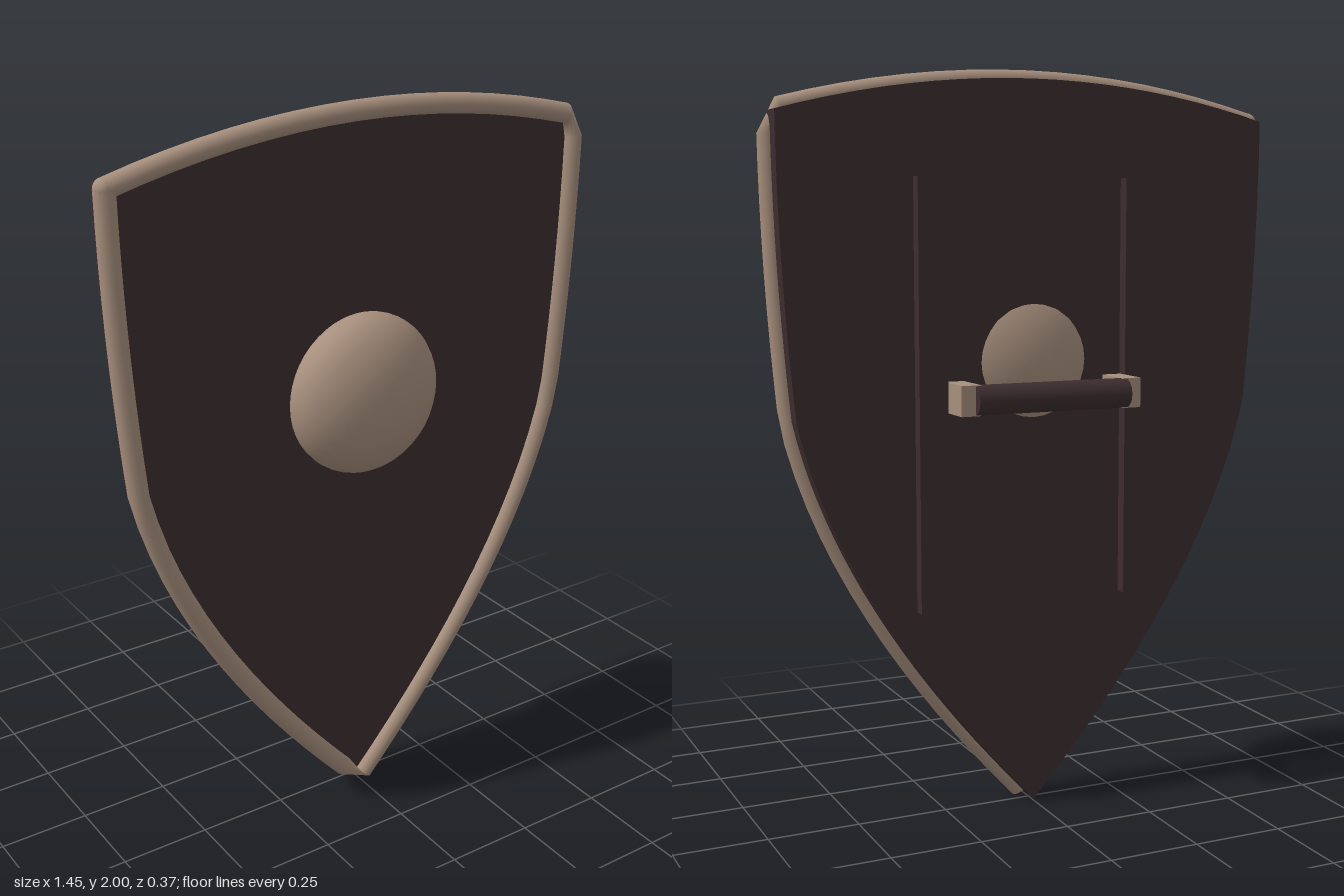
import * as THREE from 'three';

export function createModel() {
  const shield = new THREE.Group();
  shield.name = 'shield';
  const wood = new THREE.MeshStandardMaterial({ name: 'dark wood', color: 0x3d2d2f });
  const metal = new THREE.MeshStandardMaterial({ name: 'tan metal', color: 0xa78f7d });

  const add = (name, geometry, material, x = 0, y = 0, z = 0) => {
    const mesh = new THREE.Mesh(geometry, material);
    mesh.name = name;
    mesh.position.set(x, y, z);
    shield.add(mesh);
    return mesh;
  };

  // Heater outline, clockwise from the upper corner at -x
  const outline = new THREE.Shape();
  outline.moveTo(-0.7, 1.88);
  outline.quadraticCurveTo(0, 2.07, 0.7, 1.88);
  outline.quadraticCurveTo(0.7, 1.5, 0.66, 1.1);
  outline.quadraticCurveTo(0.55, 0.6, 0, 0.01);
  outline.quadraticCurveTo(-0.55, 0.6, -0.66, 1.1);
  outline.quadraticCurveTo(-0.7, 1.5, -0.7, 1.88);

  // Flat board
  const board = new THREE.ExtrudeGeometry(outline, { depth: 0.07, bevelEnabled: false, curveSegments: 20 });
  add('board', board, wood, 0, 0, -0.035);

  // Round rim that follows the outline on the front face
  const path = new THREE.CurvePath();
  for (const c of outline.curves) {
    const [a, b, d] = [c.v0, c.v1, c.v2].map((p) => new THREE.Vector3(p.x, p.y, 0));
    path.add(new THREE.QuadraticBezierCurve3(a, b, d));
  }
  const rimRadius = 0.027;
  add('rim', new THREE.TubeGeometry(path, 64, rimRadius, 12, false), metal, 0, 0, 0.035);
  add('rimCorner', new THREE.SphereGeometry(rimRadius, 16, 12), metal, -0.7, 1.88, 0.035);

  // Central boss, a flattened ball that passes through the board
  const boss = add('boss', new THREE.SphereGeometry(0.22, 32, 24), metal, 0, 1.235, 0.055);
  boss.scale.z = 0.125 / 0.22;

  // Back battens and grip brackets
  for (const [side, s] of [['left', 1], ['right', -1]]) {
    add(side + 'Batten', new THREE.BoxGeometry(0.08, 1.14, 0.035), wood, s * 0.3, 1.15, -0.05);
    add(side + 'Bracket', new THREE.BoxGeometry(0.055, 0.08, 0.115), metal, s * 0.2325, 1.15, -0.0985);
  }

  // Grip bar
  const grip = new THREE.CylinderGeometry(0.04, 0.04, 0.44, 16);
  grip.rotateZ(Math.PI / 2);
  add('grip', grip, wood, 0, 1.15, -0.145);

  return shield;
}
